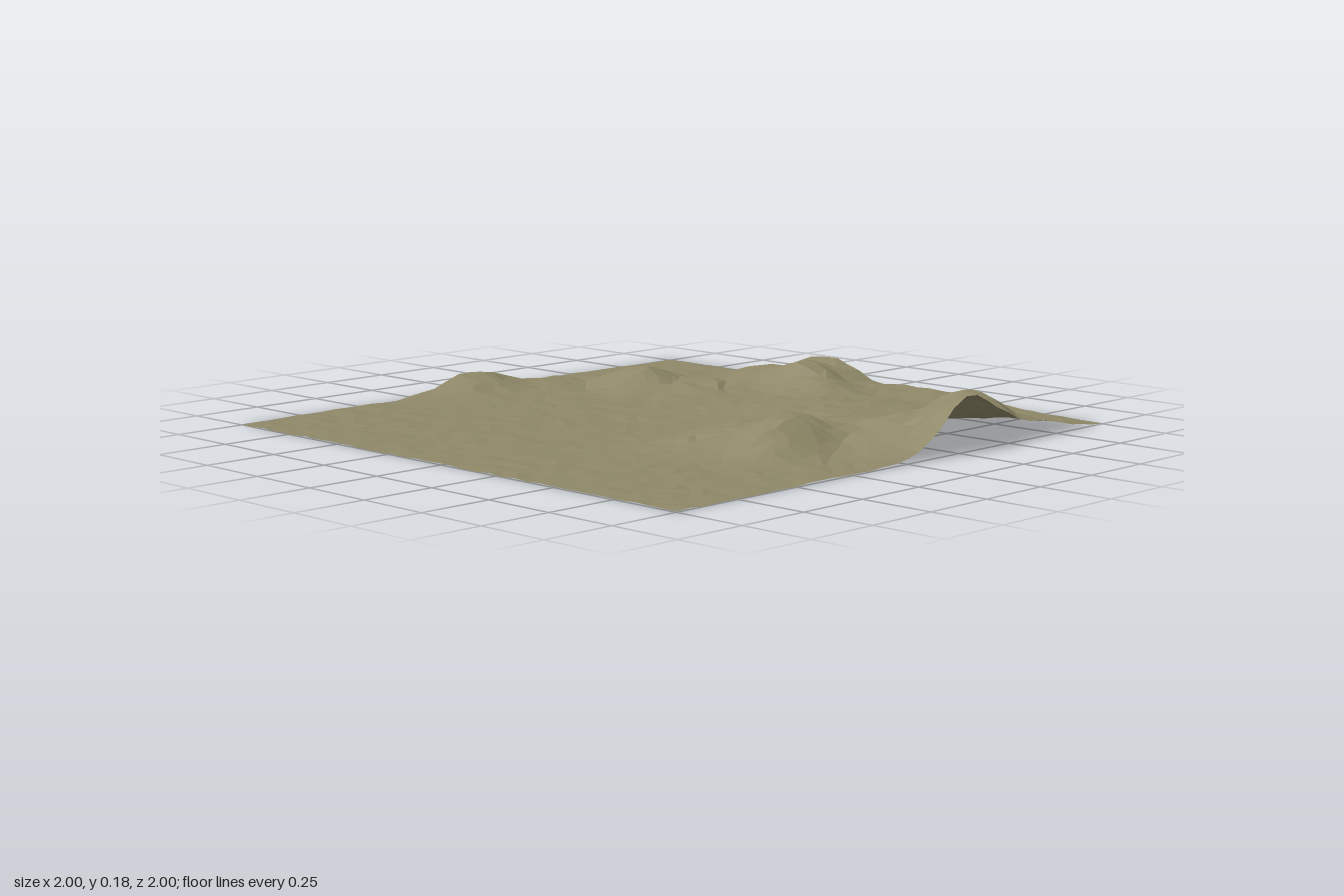
import * as THREE from 'three';

const SEGMENTS = 36;

// Hills: x, z, height, radius along x, radius along z
const HILLS = [
  [1.0, -0.31, 0.178, 0.15, 0.13],
  [0.85, -0.47, 0.165, 0.14, 0.11],
  [0.8, -0.25, 0.1, 0.17, 0.15],
  [0.95, -0.62, 0.06, 0.16, 0.14],
  [0.56, 0.05, 0.115, 0.11, 0.13],
  [0.62, 0.16, 0.08, 0.09, 0.11],
  [0.4, 0.1, 0.06, 0.12, 0.16],
  [0.6, -0.2, 0.065, 0.2, 0.18],
  [-0.15, -0.82, 0.11, 0.12, 0.1],
  [-0.2, -1.0, 0.1, 0.14, 0.12],
  [-0.32, -0.78, 0.075, 0.12, 0.13],
  [0.04, -0.72, 0.065, 0.1, 0.12],
  [-0.6, -0.45, 0.08, 0.12, 0.11],
  [-0.42, -0.55, 0.042, 0.14, 0.14],
  [-1.0, 0.0, 0.068, 0.13, 0.13],
  [-0.82, -0.2, 0.025, 0.13, 0.15],
  [0.25, -0.55, 0.035, 0.3, 0.25],
  [0.25, -0.95, 0.035, 0.25, 0.15],
];

// Repeatable value between -1 and 1 for a grid point
function hash(i, j) {
  const s = Math.sin(i * 127.1 + j * 311.7) * 43758.5453;
  return (s - Math.floor(s)) * 2 - 1;
}

function heightAt(x, z, i, j) {
  // Soft maximum keeps every peak at its own height
  let sum = 0;
  for (const [hx, hz, h, rx, rz] of HILLS) {
    const g = h * Math.exp(-0.5 * (((x - hx) / rx) ** 2 + ((z - hz) / rz) ** 2));
    sum += g ** 4;
  }
  const hill = sum ** 0.25;
  const rough = hash(i + 51, j + 17) * Math.min(0.005, hill * 0.1);
  return 0.005 + 0.003 * hash(i, j + 9) + hill * 0.97 + rough;
}

// Loosened square grid of ground points
function groundPoints() {
  const points = [];
  const cell = 2 / SEGMENTS;
  for (let j = 0; j <= SEGMENTS; j++) {
    for (let i = 0; i <= SEGMENTS; i++) {
      const insideX = i > 0 && i < SEGMENTS, insideZ = j > 0 && j < SEGMENTS;
      const x = -1 + cell * (i + (insideX ? 0.25 * hash(i, j) : 0));
      const z = -1 + cell * (j + (insideZ ? 0.25 * hash(j + 83, i) : 0));
      const corner = !insideX && !insideZ;
      points.push(x, corner ? 0.004 : Math.max(0, heightAt(x, z, i, j)), z);
    }
  }
  return points;
}

function isRock(x, z) {
  return Math.hypot((x - 0.74) / 0.04, (z + 0.46) / 0.06) < 1
    || Math.hypot((x - 0.81) / 0.04, (z + 0.33) / 0.04) < 1;
}

export function createModel() {
  const group = new THREE.Group();
  group.name = 'terrain';
  const points = groundPoints();
  const grass = [], rock = [];

  // Two triangles per cell, sorted into grass and bare rock
  const addTriangle = (a, b, c) => {
    const x = (points[a * 3] + points[b * 3] + points[c * 3]) / 3;
    const z = (points[a * 3 + 2] + points[b * 3 + 2] + points[c * 3 + 2]) / 3;
    (isRock(x, z) ? rock : grass).push(a, b, c);
  };
  for (let j = 0; j < SEGMENTS; j++) {
    for (let i = 0; i < SEGMENTS; i++) {
      const a = j * (SEGMENTS + 1) + i, b = a + 1;
      const c = a + SEGMENTS + 1, d = c + 1;
      if (hash(i + 5, j + 31) > 0.2) {
        addTriangle(a, c, d);
        addTriangle(a, d, b);
      } else {
        addTriangle(a, c, b);
        addTriangle(b, c, d);
      }
    }
  }

  const addSurface = (name, index, color) => {
    const geometry = new THREE.BufferGeometry();
    geometry.setAttribute('position', new THREE.Float32BufferAttribute(points, 3));
    geometry.setIndex(index);
    geometry.computeVertexNormals();
    const material = new THREE.MeshStandardMaterial({
      color, flatShading: true, side: THREE.DoubleSide,
    });
    const mesh = new THREE.Mesh(geometry, material);
    mesh.name = name;
    group.add(mesh);
  };
  addSurface('hillyGround', grass, 0x8f8868);
  addSurface('bareRock', rock, 0x7d7b78);
  return group;
}
